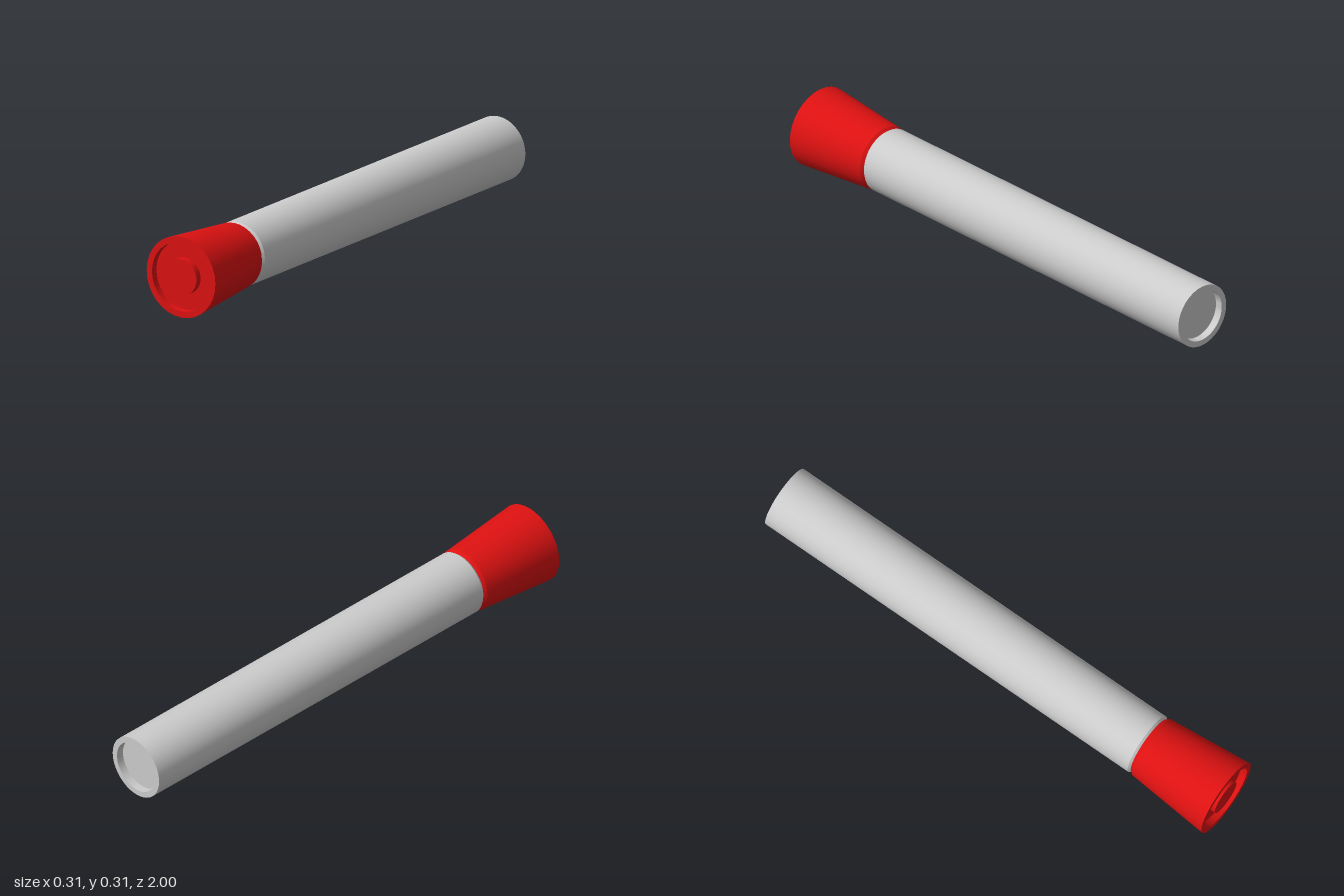
import * as THREE from 'three';
import { toCreasedNormals } from 'three/addons/utils/BufferGeometryUtils.js';

const AXIS_Y = 0.156;

// Turned part: profile pairs are [radius, z], running from the back axis to the front axis
function turned(name, profile, segments, color) {
  const points = profile.map(([r, z]) => new THREE.Vector2(r, z));
  const geometry = new THREE.LatheGeometry(points, segments);
  geometry.rotateX(Math.PI / 2);
  const mesh = new THREE.Mesh(
    toCreasedNormals(geometry, 0.5),
    new THREE.MeshStandardMaterial({ color })
  );
  mesh.name = name;
  mesh.position.y = AXIS_Y;
  return mesh;
}

export function createModel() {
  const group = new THREE.Group();
  group.name = 'cappedTube';

  // Long body with a shallow recess in its back end
  group.add(turned('tubeBody', [
    [0, -0.97], [0.1, -0.97], [0.1, -1], [0.123, -1],
    [0.123, 0.643], [0.116, 0.652], [0, 0.652],
  ], 64, 0xcccccc));

  // Flared head: rim, recessed face and a central boss flush with the rim
  group.add(turned('flaredHead', [
    [0, 0.652], [0.116, 0.652], [0.125, 0.664], [0.155, 1],
    [0.131, 1], [0.131, 0.972], [0.068, 0.972], [0.068, 0.998], [0, 0.998],
  ], 32, 0xdd1111));

  return group;
}
